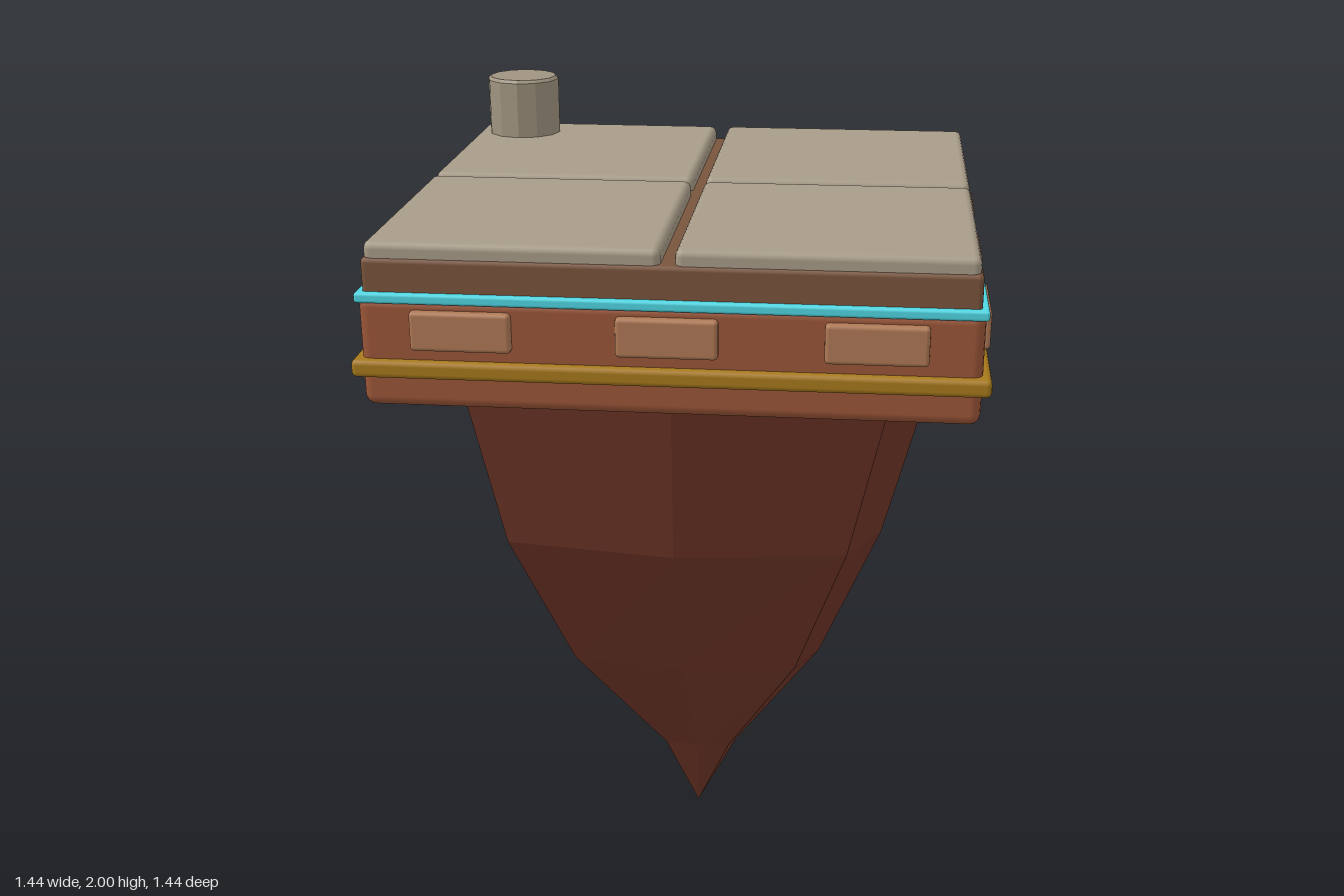
import * as THREE from 'three';
import { RoundedBoxGeometry } from 'three/addons/geometries/RoundedBoxGeometry.js';

const mat = (color, flatShading = false) => {
  const m = new THREE.MeshStandardMaterial({ color });
  m.flatShading = flatShading;
  return m;
};
const rockMat = mat(0x703628, true);
const slabMat = mat(0x9c5638);
const soilMat = mat(0x7a543c);
const tileMat = mat(0xa89c88);
const glowMat = mat(0x4fd8e4);
const goldMat = mat(0xa87a1c);
const brickMat = mat(0xb07a56);

function addBox(parent, name, material, [w, h, d], [x, y, z], radius) {
  const mesh = new THREE.Mesh(new RoundedBoxGeometry(w, h, d, 2, radius), material);
  mesh.name = name;
  mesh.position.set(x, y, z);
  parent.add(mesh);
  return mesh;
}

// Faceted rock: one rounded-square outline, scaled and shifted at each level
function rockGeometry() {
  const outline = [
    [0, 0.63], [0.5, 0.566], [0.6, 0.375], [0.61, -0.2], [0.5, -0.56],
    [0, -0.625], [-0.5, -0.57], [-0.6, -0.34], [-0.61, 0.2], [-0.5, 0.566],
  ];
  // y, x scale, z scale, x shift, z shift
  const levels = [
    [1.48, 1.01, 1.01, 0, 0],
    [1.03, 0.84, 0.84, -0.008, 0.006],
    [0.61, 0.585, 0.545, -0.008, -0.018],
    [0.25, 0.178, 0.175, 0.007, 0],
    [0, 0, 0, 0, 0],
  ];
  const n = outline.length;
  const positions = [];
  const index = [];
  for (const [y, sx, sz, dx, dz] of levels) {
    for (const [x, z] of outline) positions.push(x * sx + dx, y, z * sz + dz);
  }
  for (let i = 0; i < levels.length - 1; i++) {
    for (let j = 0; j < n; j++) {
      const k = (j + 1) % n;
      const a = i * n + j, b = i * n + k, c = a + n, d = b + n;
      if (i < levels.length - 2) index.push(c, d, b);
      index.push(c, b, a);
    }
  }
  for (let j = 1; j < n - 1; j++) index.push(0, j, j + 1);
  const geo = new THREE.BufferGeometry();
  geo.setAttribute('position', new THREE.Float32BufferAttribute(positions, 3));
  geo.setIndex(index);
  const flat = geo.toNonIndexed();
  flat.computeVertexNormals();
  return flat;
}

// Square frame of four bars
function addFrame(parent, name, material, outer, thick, y) {
  const frame = new THREE.Group();
  frame.name = name;
  for (const s of [-1, 1]) {
    const c = s * (outer - thick / 2);
    addBox(frame, name + 'Bar', material, [outer * 2, thick, thick], [0, y, c], thick * 0.3);
    addBox(frame, name + 'Bar', material, [thick, thick, outer * 2], [c, y, 0], thick * 0.3);
  }
  parent.add(frame);
}

export function createModel() {
  const model = new THREE.Group();
  model.name = 'floatingPlatform';

  const rock = new THREE.Mesh(rockGeometry(), rockMat);
  rock.name = 'hangingRock';
  model.add(rock);

  // Platform layers
  addBox(model, 'baseSlab', slabMat, [1.4, 0.26, 1.4], [0, 1.59, 0], 0.025);
  addBox(model, 'upperLayer', soilMat, [1.38, 0.13, 1.38], [0, 1.742, 0], 0.012);
  addFrame(model, 'goldTrim', goldMat, 0.72, 0.042, 1.555);
  addFrame(model, 'glowTrim', glowMat, 0.706, 0.024, 1.718);

  // Four paving tiles
  for (const sx of [-1, 1]) {
    for (const sz of [-1, 1]) {
      addBox(model, 'pavingTile', tileMat, [0.668, 0.06, 0.668],
        [sx * 0.35, 1.813, sz * 0.35], 0.018);
    }
  }

  // Three bricks on each side
  for (let side = 0; side < 4; side++) {
    const row = new THREE.Group();
    row.name = 'brickRow';
    row.rotation.y = side * Math.PI / 2;
    for (const x of [-0.465, 0, 0.465]) {
      addBox(row, 'brick', brickMat, [0.23, 0.092, 0.05], [x, 1.647, 0.694], 0.01);
    }
    model.add(row);
  }

  // Corner post with a small bevel
  const r = 0.1, h = 0.17, b = 0.008;
  const profile = [[0, 0], [r - b, 0], [r, b], [r, h - b], [r - b, h], [0, h]]
    .map(([x, y]) => new THREE.Vector2(x, y));
  const post = new THREE.Mesh(new THREE.LatheGeometry(profile, 12), mat(0xa09480, true));
  post.name = 'cornerPost';
  post.position.set(-0.553, 1.83, -0.555);
  model.add(post);

  return model;
}
